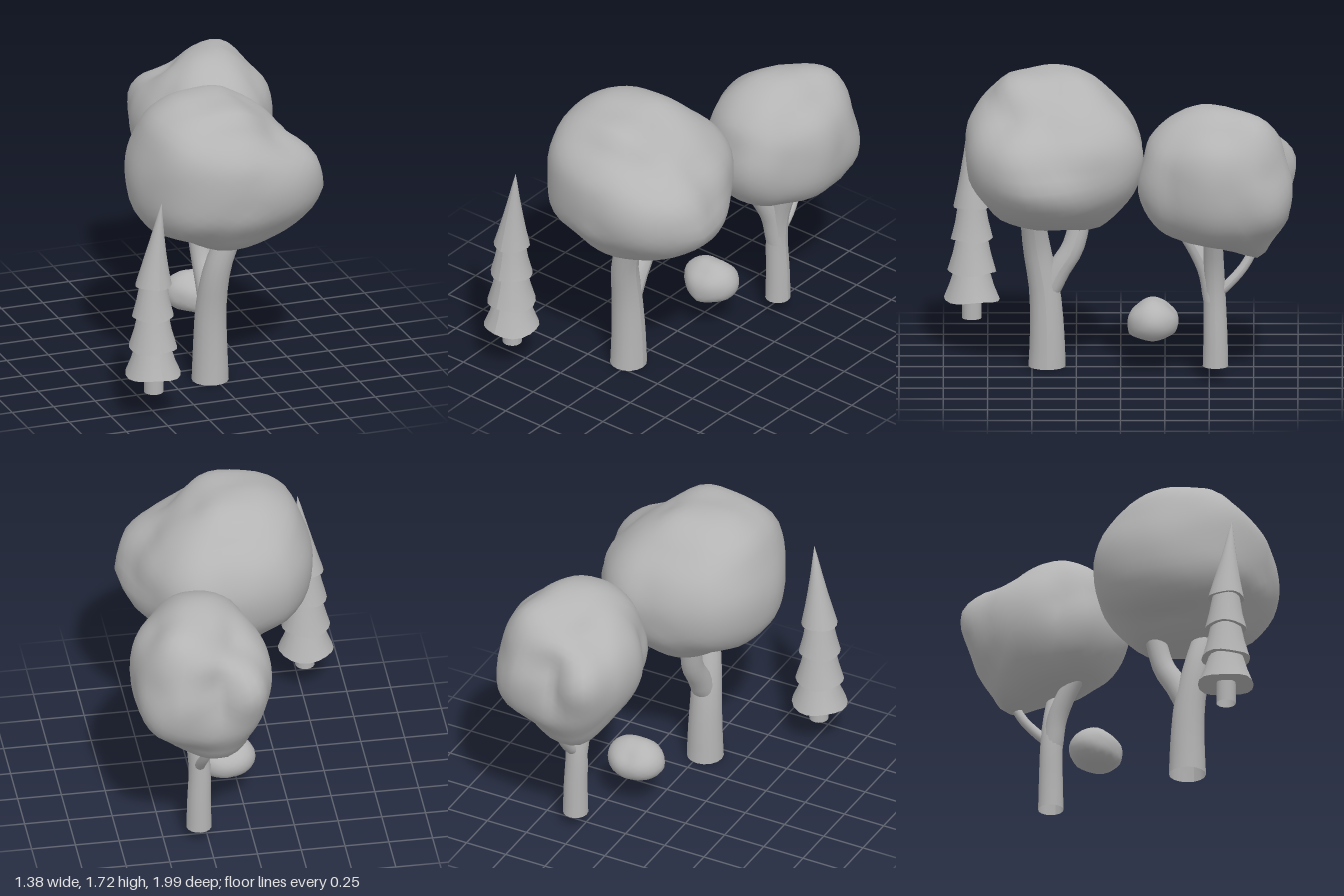
import * as THREE from 'three';
import { mergeVertices } from 'three/addons/utils/BufferGeometryUtils.js';

// Trunks are open tubes, so both sides show
const grey = new THREE.MeshStandardMaterial({ color: 0xb4b4b4, side: THREE.DoubleSide });
grey.name = 'plain grey';

function add(parent, name, geometry) {
  const mesh = new THREE.Mesh(geometry, grey);
  mesh.name = name;
  parent.add(mesh);
  return mesh;
}

// Radius of a closed outline, seen from (cu, cv), as a function of angle
function polarLoop(points, cu, cv) {
  const polar = points
    .map(([u, v]) => [Math.atan2(v - cv, u - cu), Math.hypot(u - cu, v - cv)])
    .sort((a, b) => a[0] - b[0]);
  const n = polar.length;
  const ring = [
    [polar[n - 1][0] - 2 * Math.PI, polar[n - 1][1]],
    ...polar,
    [polar[0][0] + 2 * Math.PI, polar[0][1]],
  ];
  return (angle) => {
    let i = 0;
    while (i < ring.length - 2 && ring[i + 1][0] < angle) i++;
    const [a0, r0] = ring[i], [a1, r1] = ring[i + 1];
    return r0 + (r1 - r0) * (angle - a0) / (a1 - a0 || 1);
  };
}

// Lumpy ball blended from three outlines: front (x,y), side (z,y), plan (x,z).
// Each lobe is [direction x, y, z, height, sharpness]; negative heights make hollows.
function blob([cx, cy, cz], front, side, plan, detail, lobes = []) {
  const f = polarLoop(front, cx, cy);
  const s = polarLoop(side, cz, cy);
  const p = polarLoop(plan, cx, cz);
  const bumps = lobes.map(([x, y, z, height, sharp]) =>
    ({ dir: new THREE.Vector3(x, y, z).normalize(), height, sharp }));
  let geometry = new THREE.IcosahedronGeometry(1, detail);
  geometry.deleteAttribute('uv');
  geometry.deleteAttribute('normal');
  geometry = mergeVertices(geometry, 1e-4);
  const pos = geometry.attributes.position;
  const d = new THREE.Vector3();
  for (let i = 0; i < pos.count; i++) {
    d.fromBufferAttribute(pos, i).normalize();
    const wf = 1 / (d.z * d.z + 0.03);
    const ws = 1 / (d.x * d.x + 0.03);
    const wp = 1 / (d.y * d.y + 0.03);
    let r = (wf * f(Math.atan2(d.y, d.x)) + ws * s(Math.atan2(d.y, d.z)) +
      wp * p(Math.atan2(d.z, d.x))) / (wf + ws + wp);
    for (const b of bumps) r += b.height * Math.exp(b.sharp * (d.dot(b.dir) - 1));
    pos.setXYZ(i, cx + d.x * r, cy + d.y * r, cz + d.z * r);
  }
  geometry.computeVertexNormals();
  return geometry;
}

// Tapered limb along a smooth path; each point is [x, y, z]
function limb(points, r0, r1) {
  const curve = new THREE.CatmullRomCurve3(points.map((q) => new THREE.Vector3(...q)));
  const rows = 10, sides = 16;
  const geometry = new THREE.TubeGeometry(curve, rows, 1, sides);
  const pos = geometry.attributes.position;
  const v = new THREE.Vector3();
  for (let i = 0; i < pos.count; i++) {
    const t = Math.floor(i / (sides + 1)) / rows;
    const c = curve.getPointAt(t);
    v.fromBufferAttribute(pos, i).sub(c).multiplyScalar(r0 + (r1 - r0) * t).add(c);
    if (t === 0) v.y = points[0][1];
    pos.setXYZ(i, v.x, v.y, v.z);
  }
  geometry.computeVertexNormals();
  return geometry;
}

function largeTree() {
  const tree = new THREE.Group();
  tree.name = 'largeTree';
  add(tree, 'trunk', limb([[-0.025, 0, 0.415], [-0.025, 0.2, 0.415], [-0.025, 0.45, 0.43],
    [-0.003, 0.7, 0.475], [0.07, 0.92, 0.5]], 0.105, 0.068));
  add(tree, 'branch', limb([[-0.02, 0.42, 0.42], [-0.02, 0.56, 0.35], [-0.02, 0.69, 0.27],
    [-0.04, 0.92, 0.215]], 0.07, 0.058));
  add(tree, 'canopy', blob([0.03, 1.27, 0.38],
    [[-0.49, 1.2], [-0.48, 1.32], [-0.44, 1.46], [-0.38, 1.61], [-0.22, 1.71], [-0.03, 1.72],
      [0.17, 1.64], [0.29, 1.58], [0.41, 1.45], [0.52, 1.28], [0.61, 1.14], [0.57, 1.04],
      [0.42, 0.93], [0.28, 0.87], [0.13, 0.83], [0, 0.83], [-0.22, 0.92], [-0.38, 0.95], [-0.47, 1.07]],
    [[0.87, 1.42], [0.87, 1.2], [0.86, 1.09], [0.77, 0.97], [0.7, 0.88], [0.55, 0.83], [0.35, 0.82],
      [0.12, 0.82], [0, 0.93], [-0.1, 1.07], [-0.11, 1.22], [-0.06, 1.45], [0.05, 1.57],
      [0.25, 1.72], [0.45, 1.7], [0.65, 1.69], [0.73, 1.58], [0.83, 1.48]],
    [[0.08, -0.13], [0.24, -0.14], [0.36, -0.06], [0.46, 0.1], [0.54, 0.34], [0.61, 0.53],
      [0.56, 0.68], [0.39, 0.82], [0.07, 0.87], [-0.21, 0.82], [-0.38, 0.67], [-0.45, 0.55],
      [-0.5, 0.4], [-0.48, 0.28], [-0.42, 0.1], [-0.31, -0.04], [-0.17, -0.1]], 9,
    [[-0.35, 0.25, 0.35, 0.045, 14], [-0.35, -0.2, 0.35, 0.03, 14],
      [0.4, 0.34, 0.34, -0.075, 14], [0.57, -0.13, 0.15, 0.025, 60]]));
  return tree;
}

function smallTree() {
  const tree = new THREE.Group();
  tree.name = 'smallTree';
  add(tree, 'trunk', limb([[0.3, 0.08, -0.535], [0.3, 0.25, -0.535], [0.297, 0.5, -0.53],
    [0.325, 0.68, -0.525], [0.41, 0.9, -0.52]], 0.072, 0.052));
  add(tree, 'branch', limb([[0.297, 0.46, -0.525], [0.285, 0.62, -0.495], [0.27, 0.74, -0.44],
    [0.25, 0.9, -0.34]], 0.06, 0.05));
  add(tree, 'thinBranch', limb([[0.3, 0.5, -0.55], [0.3, 0.59, -0.64], [0.29, 0.67, -0.705],
    [0.27, 0.84, -0.79]], 0.03, 0.024));
  add(tree, 'canopy', blob([0.28, 1.17, -0.55],
    [[0.4, 1.6], [0.27, 1.59], [0.12, 1.52], [-0.01, 1.4], [-0.09, 1.25], [-0.1, 1.1], [-0.04, 0.94],
      [0.07, 0.82], [0.2, 0.77], [0.36, 0.78], [0.5, 0.82], [0.61, 0.89], [0.67, 0.99],
      [0.69, 1.15], [0.69, 1.28], [0.66, 1.38], [0.55, 1.48]],
    [[-0.47, 1.6], [-0.33, 1.55], [-0.15, 1.39], [-0.13, 1.25], [-0.09, 1.1], [-0.14, 0.97],
      [-0.22, 0.87], [-0.33, 0.82], [-0.5, 0.79], [-0.66, 0.75], [-0.78, 0.72], [-0.84, 0.82],
      [-0.95, 0.93], [-0.97, 1.1], [-0.95, 1.25], [-0.92, 1.42], [-0.78, 1.54], [-0.6, 1.58]],
    [[0, -0.95], [0.12, -0.99], [0.25, -0.88], [0.33, -0.95], [0.48, -0.98], [0.6, -0.91],
      [0.67, -0.8], [0.68, -0.62], [0.69, -0.5], [0.64, -0.38], [0.57, -0.28], [0.52, -0.17],
      [0.4, -0.09], [0.26, -0.12], [0.1, -0.14], [-0.01, -0.2], [-0.04, -0.36], [-0.1, -0.6], [-0.06, -0.8]],
    9, [[-0.1, -0.42, -0.22, 0.05, 14], [-0.22, 0.1, -0.42, 0.04, 30], [-0.03, 0.15, -0.4, -0.045, 30],
      [0.27, 0.4, -0.27, 0.05, 22], [0.3, 0.06, -0.3, -0.025, 25], [0.3, -0.17, -0.3, 0.03, 18],
      [-0.2, 0.4, -0.27, -0.085, 16], [-0.3, 0.1, 0.3, -0.035, 14]]));
  return tree;
}

// Conifer: stacked flared skirts ending in a leaning tip
function conifer() {
  const tree = new THREE.Group();
  tree.name = 'conifer';
  const trunk = add(tree, 'coniferTrunk', new THREE.CylinderGeometry(0.055, 0.055, 0.18, 16, 1, true));
  trunk.position.set(0.005, 0.243, 0);
  const tiers = [
    [[0, 0.28], [0.158, 0.268], [0.125, 0.35], [0.095, 0.45]],
    [[0, 0.44], [0.138, 0.427], [0.108, 0.53], [0.085, 0.64]],
    [[0, 0.63], [0.119, 0.615], [0.095, 0.71], [0.075, 0.83]],
    [[0, 0.82], [0.103, 0.805], [0.08, 0.9], [0.058, 1.0], [0.034, 1.12], [0.014, 1.23], [0, 1.3]],
  ];
  for (const profile of tiers) {
    // Underside and skirt are separate so the rim stays sharp
    const parts = [['tierUnderside', profile.slice(0, 2)], ['tierSkirt', profile.slice(1)]];
    for (const [name, rows] of parts) {
      const geometry = new THREE.LatheGeometry(rows.map((q) => new THREE.Vector2(...q)), 18);
      const pos = geometry.attributes.position;
      for (let i = 0; i < pos.count; i++) {
        const x = pos.getX(i), y = pos.getY(i), z = pos.getZ(i);
        const lean = Math.max(0, (y - 0.75) / 0.55) ** 1.3;
        const r = Math.hypot(x, z);
        const wave = 0.05 * r * Math.sin(3 * Math.atan2(z, x) + y * 9);
        pos.setXYZ(i, x + 0.045 * lean, y + wave, z + 0.02 * lean);
      }
      geometry.computeVertexNormals();
      add(tree, name, geometry);
    }
  }
  tree.position.set(-0.53, 0, 0.84);
  return tree;
}

export function createModel() {
  const model = new THREE.Group();
  model.name = 'treeGroup';
  model.add(largeTree(), smallTree(), conifer());
  // Rounded bush with a flattened underside
  add(model, 'bush', blob([0.1, 0.3, -0.18],
    [[0.27, 0.3], [0.24, 0.37], [0.17, 0.41], [0.1, 0.42], [0, 0.4], [-0.06, 0.35], [-0.08, 0.28],
      [-0.03, 0.22], [0.08, 0.2], [0.2, 0.2], [0.25, 0.24]],
    [[-0.045, 0.215], [-0.04, 0.3], [-0.1, 0.38], [-0.16, 0.42], [-0.22, 0.41], [-0.28, 0.36],
      [-0.325, 0.28], [-0.31, 0.23], [-0.26, 0.205], [-0.18, 0.2], [-0.1, 0.195]],
    [[0.27, -0.18], [0.22, -0.09], [0.1, -0.04], [-0.02, -0.1], [-0.08, -0.2], [-0.04, -0.28],
      [0.1, -0.33], [0.22, -0.28]], 5));
  return model;
}
